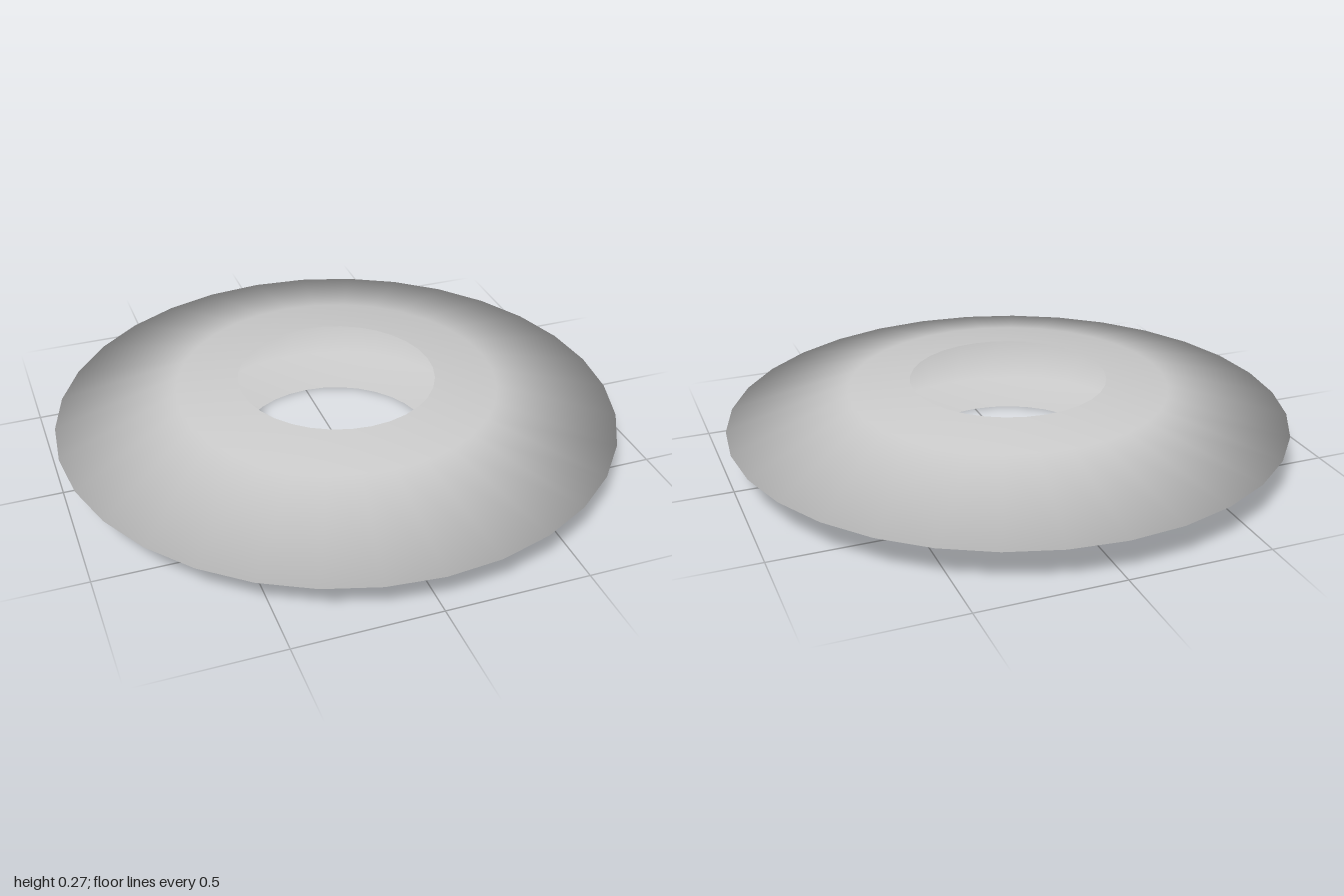
import * as THREE from 'three';

export function createModel() {
  const group = new THREE.Group();
  const mid = 0.136;

  // Half profile of the hollow shell as [radius, height above the rim plane]
  const upper = [[1, 0], [0.57, 0.108], [0.35, 0.136]];
  const lower = upper.slice(1).reverse().map(([r, h]) => [r, -h]);
  const profile = [...lower, ...upper].map(([r, h]) => new THREE.Vector2(r, mid + h));

  // Open, smooth-shaded ring shell with a round hole above and below
  const ring = new THREE.Mesh(
    new THREE.LatheGeometry(profile, 32),
    new THREE.MeshStandardMaterial({ color: 0xcccccc, side: THREE.DoubleSide })
  );
  ring.name = 'ringShell';
  group.add(ring);
  return group;
}
